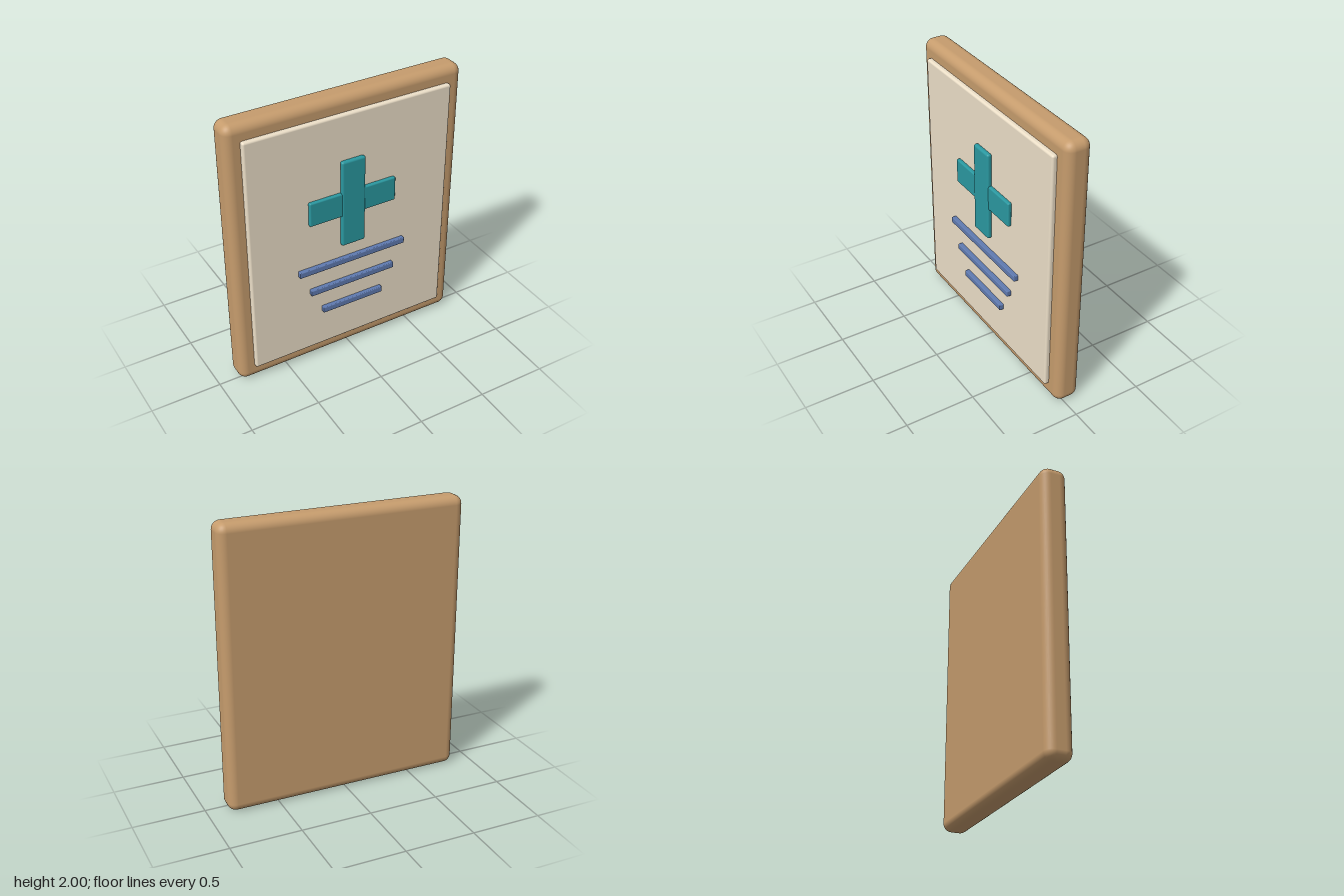
import * as THREE from 'three';
import { RoundedBoxGeometry } from 'three/addons/geometries/RoundedBoxGeometry.js';

const material = (color) => new THREE.MeshStandardMaterial({ color });

export function createModel() {
  const group = new THREE.Group();
  const wood = material(0xc69c6d);
  const cream = material(0xecdfc8);
  const teal = material(0x2a98a0);
  const blue = material(0x5f7ab0);

  // Rounded slab centred on x = 0, spanning y0..y1 and z0..z1
  function slab(name, width, y0, y1, z0, z1, radius, mat) {
    const geometry = new RoundedBoxGeometry(width, y1 - y0, z1 - z0, 4, radius);
    const mesh = new THREE.Mesh(geometry, mat);
    mesh.name = name;
    mesh.position.set(0, (y0 + y1) / 2, (z0 + z1) / 2);
    group.add(mesh);
  }

  // Backing board and raised panel
  slab('board', 1.72, 0, 2, -0.122, 0.058, 0.06, wood);
  slab('panel', 1.51, 0.11, 1.89, 0.02, 0.09, 0.015, cream);

  // Cross: the upright stands slightly proud of the arms
  slab('crossUpright', 0.178, 0.915, 1.568, 0.088, 0.124, 0.015, teal);
  slab('crossArms', 0.652, 1.151, 1.33, 0.088, 0.118, 0.01, teal);

  // Three lines, shortening downwards
  [[0.82, 0.787], [0.652, 0.604], [0.472, 0.424]].forEach(([width, y], i) => {
    slab('line' + (i + 1), width, y - 0.022, y + 0.022, 0.085, 0.121, 0.006, blue);
  });

  return group;
}
